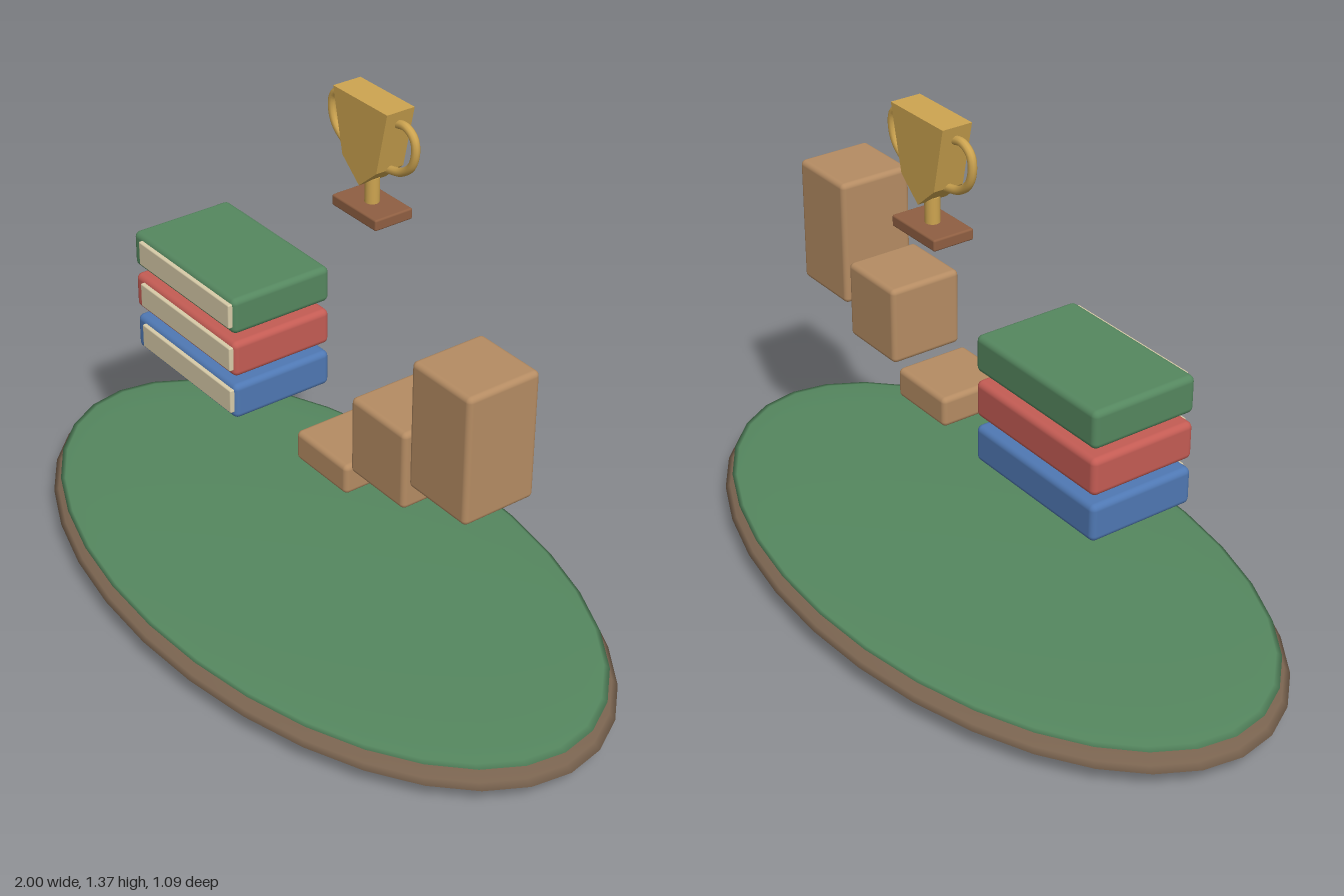
import * as THREE from 'three';
import { RoundedBoxGeometry } from 'three/addons/geometries/RoundedBoxGeometry.js';

const mat = (color) => new THREE.MeshStandardMaterial({ color });

export function createModel() {
  const model = new THREE.Group();
  model.name = 'floatingAwardDisplay';

  const add = (name, geometry, material, x, y, z, parent = model) => {
    const mesh = new THREE.Mesh(geometry, material);
    mesh.name = name;
    mesh.position.set(x, y, z);
    parent.add(mesh);
    return mesh;
  };
  // Box given by its extents on each axis
  const block = (name, [x0, x1], [y0, y1], [z0, z1], r, material, parent) =>
    add(name, new RoundedBoxGeometry(x1 - x0, y1 - y0, z1 - z0, 3, r), material,
      (x0 + x1) / 2, (y0 + y1) / 2, (z0 + z1) / 2, parent);

  // Ground: two flattened ellipsoids, soil and grass
  const disc = (name, rx, ry, rz, y, color) =>
    add(name, new THREE.SphereGeometry(1, 32, 16).scale(rx, ry, rz), mat(color), 0, y, 0);
  disc('soil', 1, 0.055, 0.545, 0.06, 0x7a6450);
  disc('grass', 0.975, 0.018, 0.525, 0.105, 0x55875f);

  // Stack of three books, pages showing at the front
  const books = new THREE.Group();
  books.name = 'bookStack';
  model.add(books);
  const pageMaterial = mat(0xd8cba8);
  [0x4f78b3, 0xc45c54, 0x55875f].forEach((color, i) => {
    const y = 0.495 + i * 0.125;
    const book = new THREE.Group();
    book.name = `book${i + 1}`;
    books.add(book);
    block('cover', [-0.607, -0.147], [y, y + 0.1], [-0.148, 0.15], 0.016, mat(color), book);
    block('pages', [-0.567, -0.155], [y + 0.02, y + 0.088], [-0.11, 0.16], 0.004, pageMaterial, book);
  });

  // Rising steps
  const stepMaterial = mat(0xb58c63);
  [[0.47, 0.553], [0.553, 0.766], [0.634, 0.978]].forEach((ys, i) => {
    const x = 0.05 + i * 0.2225;
    block(`step${i + 1}`, [x, x + 0.207], ys, [-0.104, 0.104], 0.014, stepMaterial);
  });

  // Trophy
  const trophy = new THREE.Group();
  trophy.name = 'trophy';
  trophy.position.z = -0.165;
  model.add(trophy);
  const gold = mat(0xcda450);
  block('plinth', [-0.088, 0.088], [1.06, 1.09], [-0.057, 0.057], 0.005, mat(0x8f5f42), trophy);
  add('stem', new THREE.CylinderGeometry(0.019, 0.019, 0.075, 20), gold, 0, 1.12, 0, trophy);

  // Cup: flat tapered outline with thickness
  const outline = [[-0.105, 1.37], [-0.067, 1.202], [0, 1.145], [0.067, 1.202], [0.105, 1.37]];
  const cupShape = new THREE.Shape(outline.map(([x, y]) => new THREE.Vector2(x, y)));
  const cupGeometry = new THREE.ExtrudeGeometry(cupShape, { depth: 0.082, bevelEnabled: false });
  add('cup', cupGeometry, gold, 0, 0, -0.041, trophy);

  // Ear-shaped handles, mirrored
  for (const side of [-1, 1]) {
    const path = new THREE.CatmullRomCurve3(
      [[0.08, 1.33], [0.125, 1.337], [0.156, 1.318], [0.163, 1.285], [0.15, 1.244], [0.113, 1.214], [0.055, 1.2]]
        .map(([x, y]) => new THREE.Vector3(side * x, y, 0)));
    add(side > 0 ? 'leftHandle' : 'rightHandle',
      new THREE.TubeGeometry(path, 28, 0.011, 10), gold, 0, 0, 0, trophy);
  }

  return model;
}
